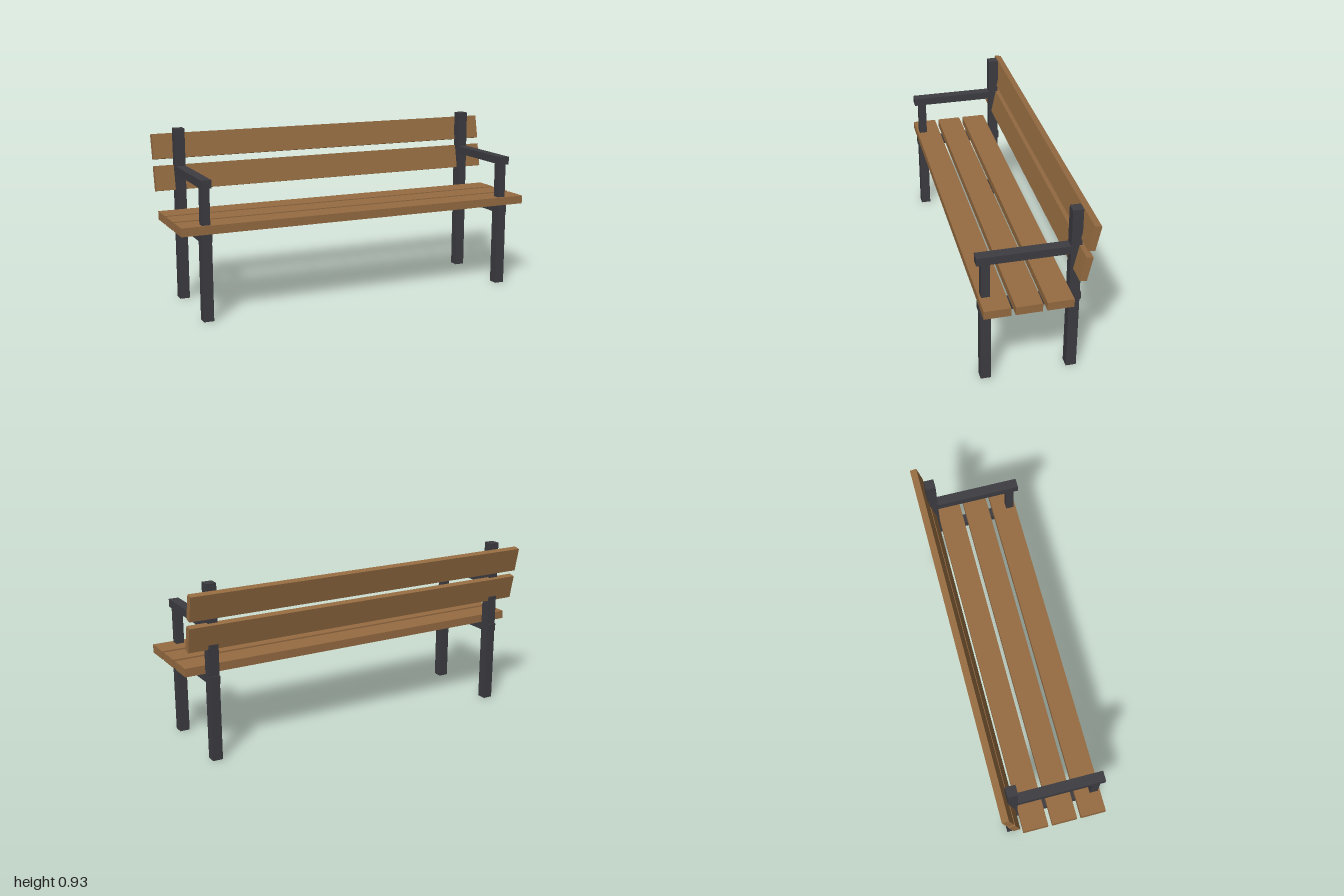
import * as THREE from 'three';

export function createModel() {
  const bench = new THREE.Group();
  bench.name = 'bench';

  const wood = new THREE.MeshStandardMaterial({ color: 0x966c42 });
  wood.name = 'wood';
  const metal = new THREE.MeshStandardMaterial({ color: 0x3c3c42 });
  metal.name = 'dark metal';

  const addBox = (parent, name, material, [w, h, d], [x, y, z]) => {
    const mesh = new THREE.Mesh(new THREE.BoxGeometry(w, h, d), material);
    mesh.name = name;
    mesh.position.set(x, y, z);
    parent.add(mesh);
    return mesh;
  };

  // Bar of a side frame, given by its y and z extents
  const addBar = (parent, name, width, y0, y1, z0, z1) =>
    addBox(parent, name, metal, [width, y1 - y0, z1 - z0], [0, (y0 + y1) / 2, (z0 + z1) / 2]);

  // Side frames
  for (const side of [1, -1]) {
    const frame = new THREE.Group();
    frame.name = side > 0 ? 'leftFrame' : 'rightFrame';
    frame.position.x = side * 0.868;
    addBar(frame, 'rearPost', 0.054, 0, 0.934, -0.229, -0.175);
    addBar(frame, 'frontLeg', 0.054, 0, 0.413, 0.216, 0.27);
    addBar(frame, 'seatRail', 0.0535, 0.413, 0.456, -0.236, 0.276);
    addBar(frame, 'armSupport', 0.044, 0.456, 0.691, 0.22, 0.264);
    addBar(frame, 'armrest', 0.0535, 0.691, 0.734, -0.2, 0.287);
    bench.add(frame);
  }

  // Seat slats
  for (const z of [0.209, 0.053, -0.103]) {
    addBox(bench, 'seatSlat', wood, [2, 0.045, 0.134], [0, 0.4785, z]);
  }

  // Back slats, leaning backwards
  for (const [y, z] of [[0.667, -0.22], [0.834, -0.253]]) {
    addBox(bench, 'backSlat', wood, [2, 0.134, 0.0365], [0, y, z]).rotation.x = -0.21;
  }

  return bench;
}
